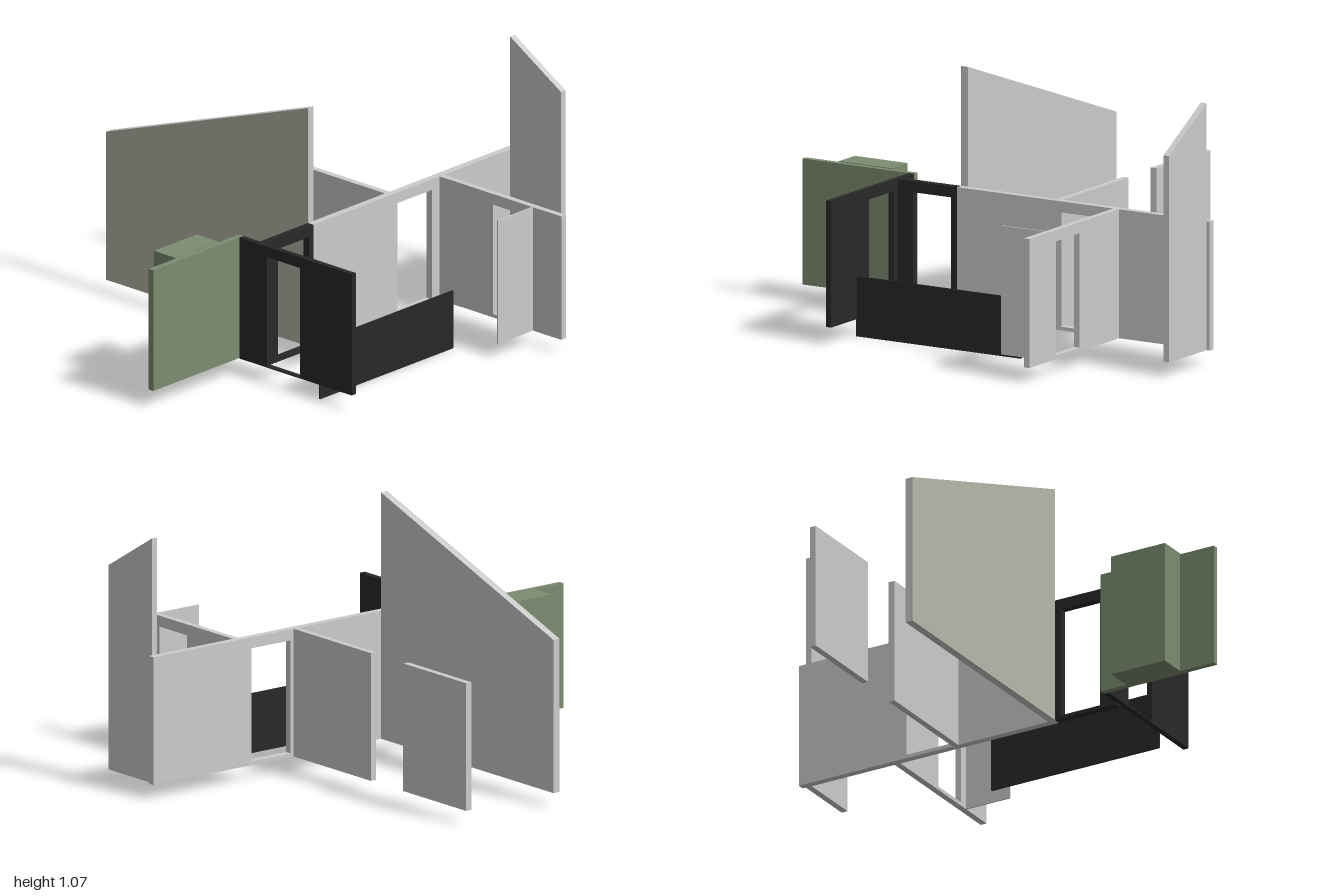
import * as THREE from 'three';

const GREY = 0xcccccc, BLACK = 0x282828, GREEN = 0x7c8c70, TAN = 0xb8b7aa;
const BASE = 0.06, TOP = 0.585, DOOR_TOP = 0.54, SILL = 0.075;

const rect = (a, b, y0 = BASE, y1 = TOP) => [[a, y0], [b, y0], [b, y1], [a, y1]];
const doorway = (a, b) => rect(a, b, SILL, DOOR_TOP);
const toPath = (pts, Type) => new Type(pts.map(([u, v]) => new THREE.Vector2(u, v)));

// Flat slab from an outline (u, y) with optional openings, thickness along local z.
function slab(outline, depth, holes) {
  const shape = toPath(outline, THREE.Shape);
  holes.forEach((h) => shape.holes.push(toPath(h, THREE.Path)));
  return new THREE.ExtrudeGeometry(shape, { depth, bevelEnabled: false });
}

export function createModel() {
  const model = new THREE.Group();
  model.name = 'houseWalls';
  const materials = {};
  const add = (name, geometry, color) => {
    materials[color] ??= new THREE.MeshStandardMaterial({ color });
    const mesh = new THREE.Mesh(geometry, materials[color]);
    mesh.name = name;
    model.add(mesh);
  };
  // Wall running along x, between z0 and z1.
  const wallX = (name, outline, z0, z1, color = GREY, holes = []) =>
    add(name, slab(outline, z1 - z0, holes).translate(0, 0, z0), color);
  // Wall running along z, between x0 and x1.
  const wallZ = (name, outline, x0, x1, color = GREY, holes = []) =>
    add(name, slab(outline, x1 - x0, holes).rotateY(-Math.PI / 2).translate(x1, 0, 0), color);

  // Long central wall: grey with a doorway, black at the entrance
  wallZ('spineWall', rect(-1, 0.192), 0.2, 0.23, GREY, [doorway(-0.5, -0.3)]);
  wallZ('entranceSideWall', rect(0.192, 0.475), 0.2, 0.23, BLACK, [doorway(0.22, 0.4)]);

  // Tall walls with sloping tops; the large one has a tinted front skin
  const gable = [[-0.895, BASE], [0.2, BASE], [0.2, 1.073], [-0.895, 0.69]];
  wallX('gableWall', gable, 0.16, 0.188);
  wallX('gableFacing', gable, 0.188, 0.192, TAN);
  wallX('rearTallWall', [[0.23, BASE], [0.505, BASE], [0.505, 0.9], [0.23, 1.065]], -0.985, -0.958);

  // Cross walls
  wallX('rightCrossWall', rect(0.23, 0.89), -0.572, -0.545, GREY, [doorway(0.52, 0.695)]);
  wallX('leftCrossWallInner', rect(-0.29, 0.2), -0.285, -0.258);
  wallX('leftCrossWallOuter', rect(-0.895, -0.495), -0.285, -0.258);

  // Thin partition and low parapet
  wallZ('partition', rect(-0.545, -0.34), 0.731, 0.737);
  wallZ('parapet', rect(-0.302, 0.478, 0, 0.245), 0.524, 0.531, BLACK);

  // Entrance wall with its opening
  wallX('entranceWall', rect(0.11, 0.72, 0.07), 0.473, 0.497, BLACK, [doorway(0.26, 0.44)]);

  // Green screen wall with a projecting block
  wallZ('greenScreen', rect(0.473, 1, 0.072), 0.085, 0.11, GREEN);
  add('greenBlock', new THREE.BoxGeometry(0.117, 0.516, 0.25).translate(0.0265, 0.33, 0.718), GREEN);

  return model;
}
